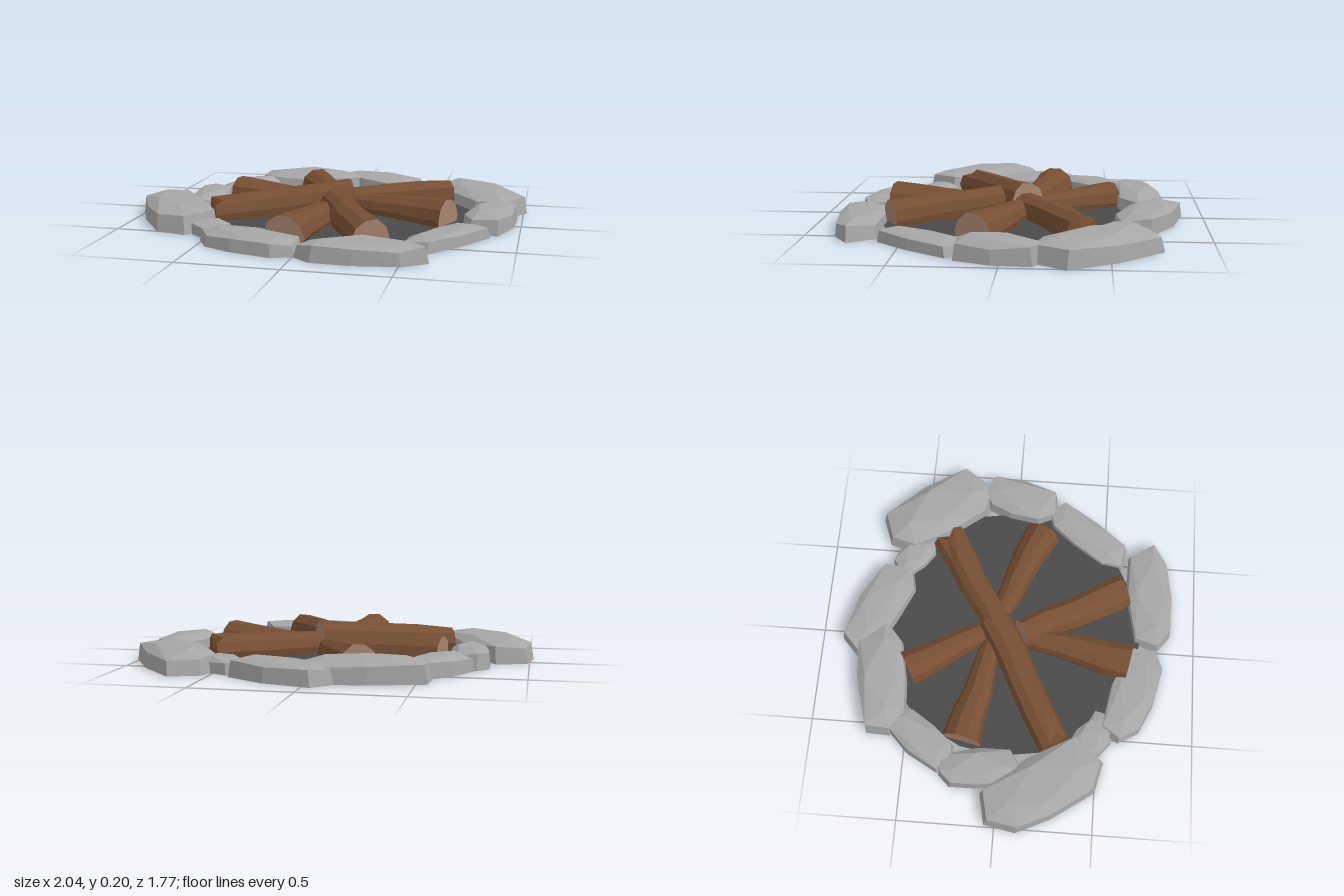
import * as THREE from 'three';
import { ConvexGeometry } from 'three/addons/geometries/ConvexGeometry.js';

const mat = (name, color) => {
  const m = new THREE.MeshStandardMaterial({ color, flatShading: true, side: THREE.DoubleSide });
  m.name = name;
  return m;
};

// Repeatable variation in the range -1..1
const vary = (n) => {
  const s = Math.sin(n * 12.9898) * 43758.5453;
  return (s - Math.floor(s)) * 2 - 1;
};

// Rough outline shared by the stones, scaled to each one's half length and half width
const OUTLINE = [[1, .3], [.65, .92], [-.1, 1], [-.7, .88], [-1, .25], [-.88, -.7], [0, -.97], [.82, -.8]];

// Stone: ground outline, shoulder ring and smaller top ring in a hull that is open underneath
function stoneGeometry({ long, wide, height }, seed) {
  const points = [];
  OUTLINE.forEach(([u, w], i) => {
    const x = u * long * (1 + 0.05 * vary(seed * 11 + i));
    const z = w * wide * (1 + 0.07 * vary(seed * 23 + i));
    const ring = (k, y) => points.push(new THREE.Vector3(x * k, y, z * k));
    ring(1, 0);
    ring(0.94, height * (0.72 + 0.12 * vary(seed * 17 + i)));
    if (i % 2 === 0) ring(0.6, height * (0.97 + 0.03 * vary(seed * 31 + i)));
  });
  const hull = new ConvexGeometry(points).getAttribute('position').array;
  const open = [];
  for (let i = 0; i < hull.length; i += 9) {
    if (Math.max(hull[i + 1], hull[i + 4], hull[i + 7]) > 0.001) open.push(...hull.slice(i, i + 9));
  }
  const g = new THREE.BufferGeometry();
  g.setAttribute('position', new THREE.Float32BufferAttribute(open, 3));
  g.computeVertexNormals();
  return g;
}

// Log: faceted arch from outer end a to inner end b, open underneath, with cut ends
function logGeometry({ a, b, ra, rb, notch }, seed) {
  const N = 8, STEPS = 4;
  const start = new THREE.Vector3(...a), end = new THREE.Vector3(...b);
  const dir = end.clone().sub(start).normalize();
  const side = new THREE.Vector3(-dir.z, 0, dir.x).normalize();
  const up = side.clone().cross(dir);
  const pos = [], bark = [], caps = [];
  for (let s = 0; s <= STEPS; s++) {
    const t = s / STEPS;
    const c = start.clone().lerp(end, t).addScaledVector(side, s % STEPS ? 0.01 * vary(seed * 7 + s) : 0);
    const foot = THREE.MathUtils.lerp(0.032, 0.008, t);
    for (let k = 0; k < N; k++) {
      const isFoot = k === 0 || k === N - 1;
      const ang = (THREE.MathUtils.clamp(k - 1, 0, N - 3) / (N - 3)) * Math.PI;
      const r = THREE.MathUtils.lerp(ra, rb, t) * (isFoot ? 0.92 : 1 + 0.06 * vary(seed * 53 + k * 3));
      const p = c.clone().addScaledVector(side, Math.cos(ang) * r).addScaledVector(up, Math.sin(ang) * r);
      // Split in the outer end
      if (notch && s === 0 && k === 3) p.addScaledVector(dir, 0.05).addScaledVector(up, -0.02);
      pos.push(p.x, isFoot ? foot : p.y, p.z);
    }
  }
  for (let s = 0; s < STEPS; s++) {
    for (let k = 0; k < N - 1; k++) {
      const i = s * N + k, j = i + 1;
      bark.push(i, i + N, j, j, i + N, j + N);
    }
  }
  // Ends fanned from their centres; a split outer end is weathered like the bark
  for (const s of [0, STEPS]) {
    const c = s ? end : start, mid = pos.length / 3;
    const target = notch && s === 0 ? bark : caps;
    pos.push(c.x, c.y, c.z);
    for (let k = 0; k < N; k++) {
      const i = s * N + k, j = s * N + (k + 1) % N;
      target.push(...(s ? [mid, j, i] : [mid, i, j]));
    }
  }
  const g = new THREE.BufferGeometry();
  g.setAttribute('position', new THREE.Float32BufferAttribute(pos, 3));
  g.setIndex([...bark, ...caps]);
  g.addGroup(0, bark.length, 0);
  g.addGroup(bark.length, caps.length, 1);
  const flat = g.toNonIndexed();
  flat.computeVertexNormals();
  return flat;
}

// Stones of the ring: centre, half length, half width, turn in degrees and height
const STONES = [
  { name: 'backLeftStone', x: -.26, z: -.655, long: .31, wide: .14, turn: -8, height: .12 },
  { name: 'backStone', x: .14, z: -.71, long: .29, wide: .13, turn: 25, height: .1 },
  { name: 'smallBackStone', x: .47, z: -.55, long: .13, wide: .09, turn: 40, height: .08 },
  { name: 'largeBackStone', x: .755, z: -.45, long: .34, wide: .17, turn: 56, height: .12 },
  { name: 'sideStoneA', x: .85, z: .01, long: .22, wide: .115, turn: 105, height: .11 },
  { name: 'frontCornerStone', x: .66, z: .4, long: .27, wide: .1, turn: 127, height: .07 },
  { name: 'frontStoneA', x: .31, z: .75, long: .31, wide: .125, turn: -4, height: .095 },
  { name: 'frontStoneB', x: -.24, z: .675, long: .28, wide: .12, turn: 19, height: .08 },
  { name: 'smallFrontStoneA', x: -.52, z: .46, long: .12, wide: .09, turn: 40, height: .065 },
  { name: 'smallFrontStoneB', x: -.44, z: .51, long: .09, wide: .07, turn: 20, height: .05 },
  { name: 'largeSideStone', x: -.77, z: .22, long: .34, wide: .165, turn: 58, height: .12 },
  { name: 'sideStoneB', x: -.7, z: -.1, long: .22, wide: .105, turn: 83, height: .1 },
  { name: 'backCornerStone', x: -.57, z: -.42, long: .21, wide: .1, turn: -52, height: .1 },
];

// Logs: outer end, inner end and their radii
const LOGS = [
  { name: 'longLogTop', a: [-.56, .06, .28], b: [.09, .11, -.08], ra: .085, rb: .088, notch: true },
  { name: 'longLogBase', a: [.58, .07, -.37], b: [.04, .075, -.04], ra: .09, rb: .07, notch: true },
  { name: 'backLog', a: [-.2, .05, -.52], b: [.03, .06, -.13], ra: .1, rb: .06 },
  { name: 'sideLogA', a: [-.57, .05, -.2], b: [-.03, .06, -.09], ra: .105, rb: .05 },
  { name: 'sideLogB', a: [.64, .06, .15], b: [.13, .065, -.06], ra: .1, rb: .055 },
  { name: 'frontLogA', a: [-.08, .05, .65], b: [.02, .06, .1], ra: .105, rb: .055 },
  { name: 'frontLogB', a: [.33, .055, .6], b: [.03, .095, .07], ra: .095, rb: .075 },
];

export function createModel() {
  const stone = mat('stone grey', 0xa6a6a6);
  const ash = mat('ash', 0x4a4a4a);
  const bark = mat('bark', 0x774f33);
  const cut = mat('cut wood', 0xa88470);
  const model = new THREE.Group();
  model.name = 'campfire';
  const add = (name, geometry, material) => {
    const m = new THREE.Mesh(geometry, material);
    m.name = name;
    model.add(m);
    return m;
  };

  // Ash bed, slightly raised in the middle
  const bed = add('ashBed', new THREE.ConeGeometry(0.7, 0.015, 20, 1, true), ash);
  bed.position.set(0.07, 0.0325, 0.01);

  STONES.forEach((s, i) => {
    const m = add(s.name, stoneGeometry(s, i + 1), stone);
    m.position.set(s.x, 0, s.z);
    m.rotation.y = -THREE.MathUtils.degToRad(s.turn);
  });
  LOGS.forEach((l, i) => add(l.name, logGeometry(l, i + 1), [bark, cut]));
  return model;
}
